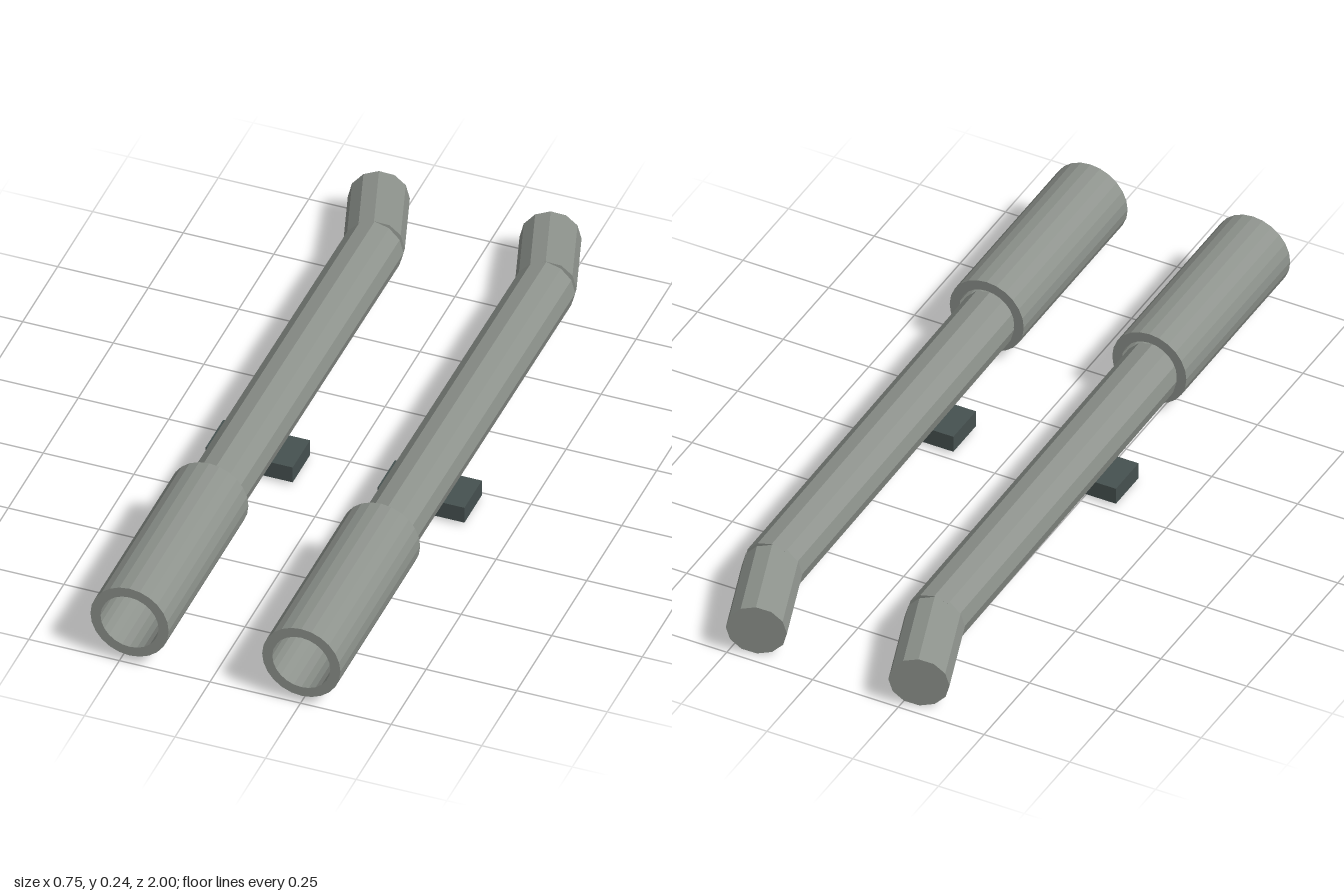
import * as THREE from 'three';

const steel = new THREE.MeshStandardMaterial({ color: 0x8d928c });
steel.name = 'grey steel';
const darkSteel = new THREE.MeshStandardMaterial({ color: 0x465150 });
darkSteel.name = 'dark steel';

// Faceted mesh: every face gets its own normal
function facetedMesh(name, geometry, material) {
  const flat = geometry.toNonIndexed();
  flat.computeVertexNormals();
  const mesh = new THREE.Mesh(flat, material);
  mesh.name = name;
  return mesh;
}

// Twelve-sided solid rod from one point to another
function rod(name, from, to, radius) {
  const a = new THREE.Vector3(...from);
  const b = new THREE.Vector3(...to);
  const geometry = new THREE.CylinderGeometry(radius, radius, a.distanceTo(b), 12).rotateX(Math.PI / 2);
  const mesh = facetedMesh(name, geometry, steel);
  mesh.position.copy(a).lerp(b, 0.5);
  mesh.lookAt(b);
  return mesh;
}

function createPipe(name) {
  const pipe = new THREE.Group();
  pipe.name = name;

  // Hollow sleeve, open at both ends
  const profile = [[0.108, 0.43], [0.108, 1], [0.08, 1], [0.08, 0.43], [0.108, 0.43]]
    .map(([r, z]) => new THREE.Vector2(r, z));
  const sleeve = facetedMesh('sleeve', new THREE.LatheGeometry(profile, 24).rotateX(Math.PI / 2), steel);
  sleeve.position.y = 0.136;

  // Slightly sloping pipe, and the bent end section
  const tube = rod('mainPipe', [0, 0.105, -0.75], [0, 0.12, 0.45], 0.08);
  const bend = rod('bentEnd', [-0.075, 0.083, -0.975], [0, 0.105, -0.745], 0.08);

  // Mounting bar under the pipe
  const bar = facetedMesh('mountingBar', new THREE.BoxGeometry(0.24, 0.048, 0.124), darkSteel);
  bar.position.set(0, 0.036, 0.083);

  pipe.add(sleeve, tube, bend, bar);
  return pipe;
}

export function createModel() {
  const model = new THREE.Group();
  model.name = 'pipePair';
  for (const [name, x] of [['rightPipe', -0.222], ['leftPipe', 0.252]]) {
    const pipe = createPipe(name);
    pipe.position.x = x;
    model.add(pipe);
  }
  return model;
}
